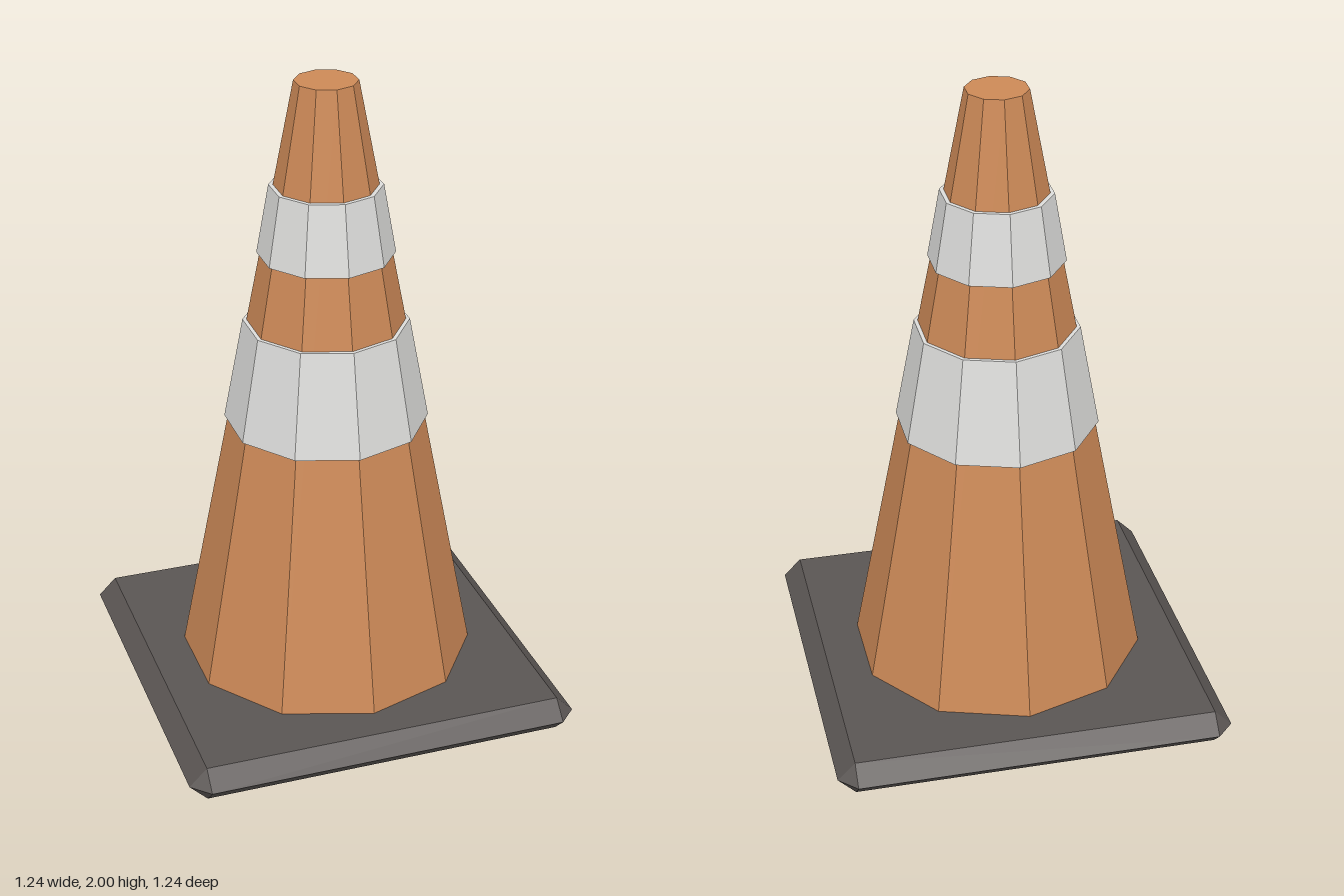
import * as THREE from 'three';
import { ConvexGeometry } from 'three/addons/geometries/ConvexGeometry.js';

function material(name, color) {
  const m = new THREE.MeshStandardMaterial({ color, flatShading: true });
  m.name = name;
  return m;
}

export function createModel() {
  const model = new THREE.Group();
  model.name = 'trafficCone';
  const orange = material('orange', 0xcc8957);
  const white = material('reflectiveWhite', 0xdcdcda);
  const rubber = material('darkRubber', 0x5a5553);

  const add = (name, geometry, mat, y = 0) => {
    const mesh = new THREE.Mesh(geometry, mat);
    mesh.name = name;
    mesh.position.y = y;
    model.add(mesh);
  };

  // Ten-sided tapered section between two heights
  const taper = (name, y0, y1, r0, r1, mat) =>
    add(name, new THREE.CylinderGeometry(r1, r0, y1 - y0, 10), mat, (y0 + y1) / 2);

  // Square base plate with bevelled edges and clipped corners
  const inner = 0.565, outer = 0.62, height = 0.11;
  const points = [];
  for (const sx of [-1, 1]) for (const sz of [-1, 1]) {
    points.push(
      new THREE.Vector3(sx * inner, 0, sz * inner),
      new THREE.Vector3(sx * inner, height, sz * inner),
      new THREE.Vector3(sx * outer, height / 2, sz * inner),
      new THREE.Vector3(sx * inner, height / 2, sz * outer)
    );
  }
  add('base', new ConvexGeometry(points), rubber);

  // Cone body and the two raised bands
  taper('coneBody', height, 2, 0.46, 0.095, orange);
  taper('lowerBand', 0.92, 1.245, 0.314, 0.253, white);
  taper('upperBand', 1.465, 1.68, 0.208, 0.17, white);

  return model;
}
